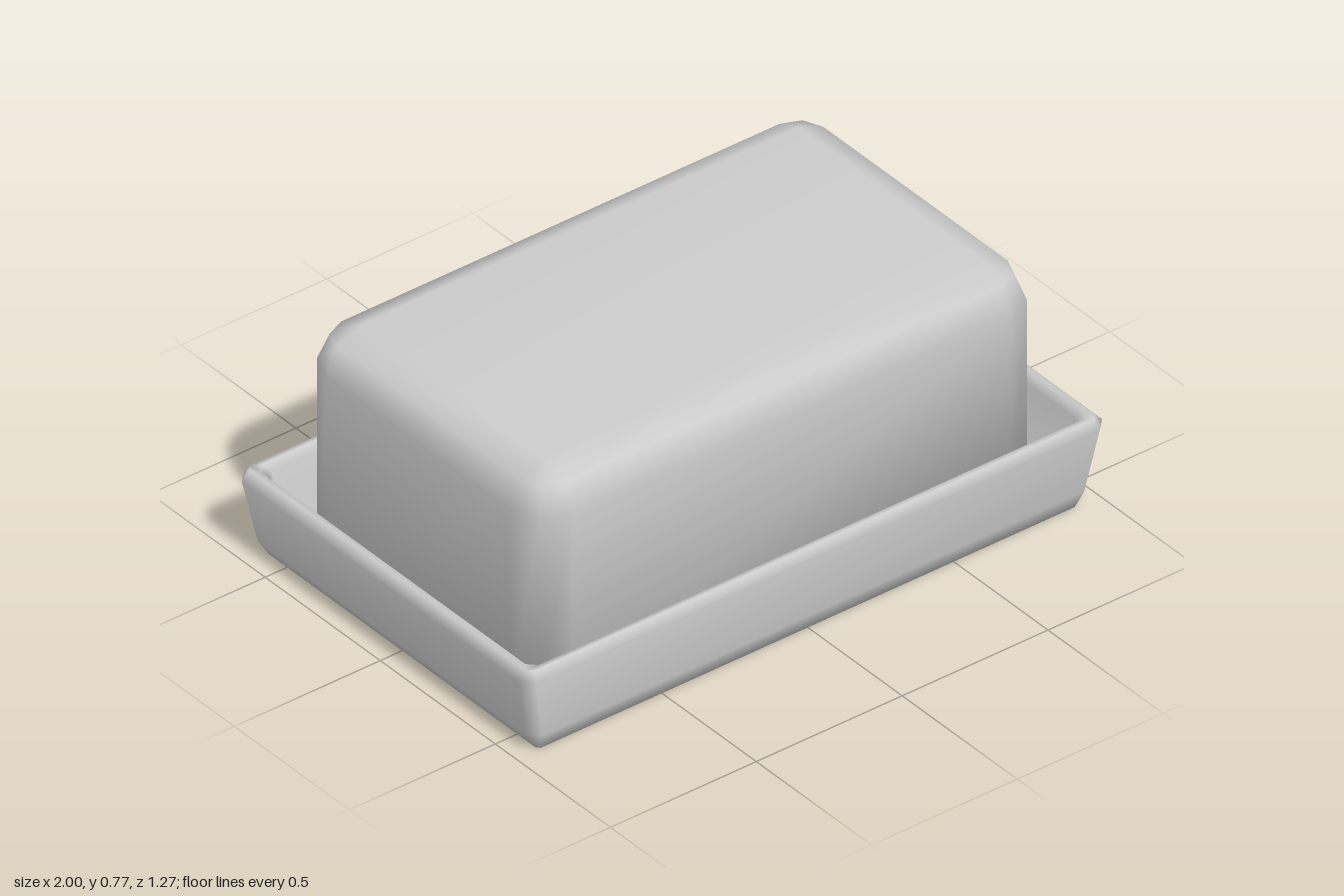
import * as THREE from 'three';
import { mergeVertices } from 'three/addons/utils/BufferGeometryUtils.js';

// Closed loft through rounded-rectangle rings: [halfX, halfZ, y, cornerRadius]
function loft(rings, segments) {
  const pos = [], idx = [];
  const n = 4 * (segments + 1);
  for (const [hx, hz, y, r] of rings) {
    for (let q = 0; q < 4; q++) {
      const sx = q === 0 || q === 3 ? 1 : -1, sz = q < 2 ? 1 : -1;
      for (let s = 0; s <= segments; s++) {
        const a = (q + s / segments) * Math.PI / 2;
        pos.push(sx * (hx - r) + r * Math.cos(a), y, sz * (hz - r) + r * Math.sin(a));
      }
    }
  }
  const last = rings.length - 1;
  for (let k = 0; k < last; k++) {
    for (let i = 0; i < n; i++) {
      const a = k * n + i, b = k * n + (i + 1) % n;
      idx.push(a, a + n, b, b, a + n, b + n);
    }
  }
  // Caps on the first and last ring
  const bottom = pos.length / 3, top = bottom + 1;
  pos.push(0, rings[0][2], 0, 0, rings[last][2], 0);
  for (let i = 0; i < n; i++) {
    const j = (i + 1) % n;
    idx.push(bottom, i, j, top, last * n + j, last * n + i);
  }
  let geo = new THREE.BufferGeometry();
  geo.setAttribute('position', new THREE.Float32BufferAttribute(pos, 3));
  geo.setIndex(idx);
  geo = mergeVertices(geo, 1e-4);
  geo.computeVertexNormals();
  return geo;
}

export function createModel() {
  const group = new THREE.Group();
  group.name = 'butterDish';
  const material = new THREE.MeshStandardMaterial({ color: 0xcccccc });
  const add = (name, geometry) => {
    const mesh = new THREE.Mesh(geometry, material);
    mesh.name = name;
    group.add(mesh);
  };

  // Shallow tray: flared outside, bevelled rim, then down to the inner floor
  add('tray', loft([
    [0.925, 0.59, 0, 0.01],
    [0.963, 0.615, 0.06, 0.035],
    [1.0, 0.636, 0.258, 0.035],
    [0.975, 0.617, 0.285, 0.015],
    [0.957, 0.601, 0.285, 0.025],
    [0.942, 0.585, 0.262, 0.03],
    [0.915, 0.56, 0.09, 0.03],
    [0.885, 0.535, 0.06, 0.01],
  ], 1));

  // Lid: box with two-step rounded edges
  const R = 0.12, cover = [[0.87, 0.52, 0.06, R]];
  for (let i = 0; i <= 2; i++) {
    const a = i * Math.PI / 4, inset = R * (1 - Math.cos(a));
    cover.push([0.87 - inset, 0.52 - inset, 0.655 + R * Math.sin(a), R - inset]);
  }
  add('lid', loft(cover, 2));
  return group;
}
